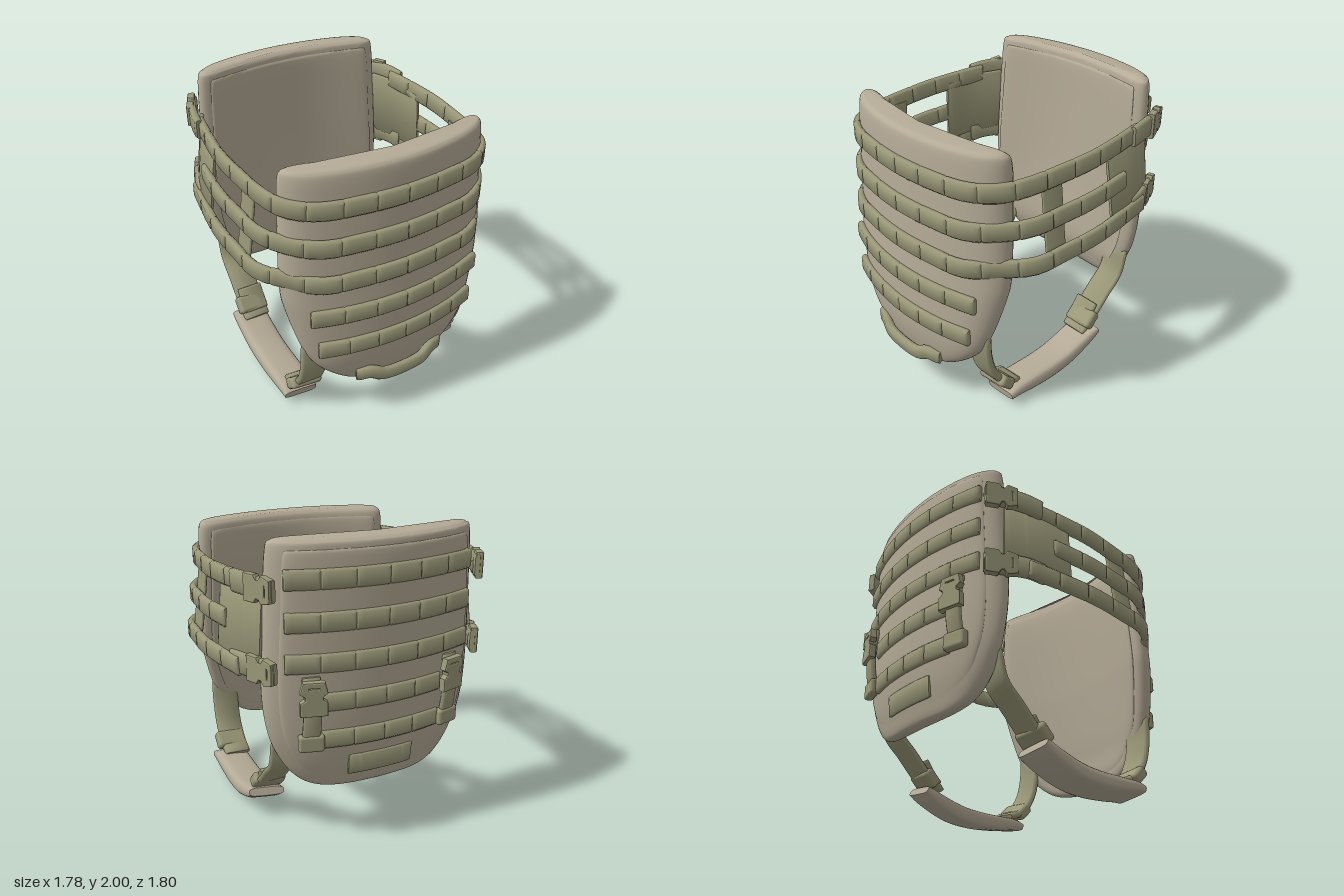
import * as THREE from 'three';
import { toCreasedNormals } from 'three/addons/utils/BufferGeometryUtils.js';
import { RoundedBoxGeometry } from 'three/addons/geometries/RoundedBoxGeometry.js';

const V = (x, y, z) => new THREE.Vector3(x, y, z);
const cloth = new THREE.MeshStandardMaterial({ color: 0xb5ab97 });
const webbing = new THREE.MeshStandardMaterial({ color: 0x9a9878 });

function add(parent, name, geometry, material) {
  const mesh = new THREE.Mesh(geometry, material);
  mesh.name = name;
  parent.add(mesh);
  return mesh;
}

// Skin a list of closed rings and cap both ends
function loft(rings) {
  const pos = [], idx = [], n = rings[0].length, last = rings.length - 1;
  rings.forEach(r => r.forEach(p => pos.push(p.x, p.y, p.z)));
  for (let i = 0; i < last; i++) for (let j = 0; j < n; j++) {
    const a = i * n + j, b = i * n + (j + 1) % n;
    idx.push(a, b, b + n, a, b + n, a + n);
  }
  for (const i of [0, last]) {
    const c = rings[i].reduce((s, p) => s.add(p), V(0, 0, 0)).divideScalar(n);
    const k = pos.length / 3;
    pos.push(c.x, c.y, c.z);
    for (let j = 0; j < n; j++) {
      const a = i * n + j, b = i * n + (j + 1) % n;
      i ? idx.push(k, a, b) : idx.push(k, b, a);
    }
  }
  const g = new THREE.BufferGeometry();
  g.setAttribute('position', new THREE.Float32BufferAttribute(pos, 3));
  g.setIndex(idx);
  return toCreasedNormals(g, 0.9);
}

// Padded strip along a path; `across` is its width direction; segments pinch it at stitches
function ribbon(points, across, width, thick, segments = 0) {
  const curve = new THREE.CatmullRomCurve3(points, false, 'centripetal');
  const stops = [];
  const steps = segments ? [0, 0.05, 0.2, 0.5, 0.8, 0.95] : [0, 0.5];
  const count = segments || 12;
  for (let i = 0; i < count; i++) for (const s of steps) stops.push([(i + s) / count, s === 0]);
  stops.push([1, true]);
  const rings = stops.map(([t, stitch]) => {
    const pinch = segments ? stitch : t === 0 || t === 1;
    const T = curve.getTangentAt(t);
    const W = across.clone().addScaledVector(T, -across.dot(T)).normalize();
    const N = T.clone().cross(W);
    const w = width / 2 * (pinch ? 0.96 : 1), h = thick / 2 * (pinch ? 0.6 : 1), c = Math.min(w, h) * 0.6;
    const p = curve.getPointAt(t);
    return [[w, -h + c], [w, h - c], [w - c, h], [-w + c, h], [-w, h - c], [-w, -h + c], [-w + c, -h], [w - c, -h]]
      .map(([a, b]) => p.clone().addScaledVector(W, a).addScaledVector(N, b));
  });
  return loft(rings);
}

// Curved plate; rows of [y, half width, outer z, inner z, inner bend] from top to bottom
const BEND = 0.29;
function plate(rows) {
  const A = new THREE.SplineCurve(rows.map(r => new THREE.Vector2(r[0], r[1])));
  const B = new THREE.SplineCurve(rows.map(r => new THREE.Vector2(r[2], r[3])));
  const C = new THREE.SplineCurve(rows.map(r => new THREE.Vector2(r[4], 0)));
  const rings = [], steps = (rows.length - 1) * 5, n = 28;
  for (let i = 0; i <= steps; i++) {
    const a = A.getPoint(i / steps), b = B.getPoint(i / steps), k = C.getPoint(i / steps).x, ring = [];
    for (let j = 0; j < 2 * n; j++) {
      const s = Math.cos(j * Math.PI / n), x = s * a.y;
      const outer = b.x - BEND * x * x, inner = b.y - k * x * x;
      const fat = Math.sqrt(Math.max(0, 1 - Math.abs(s) ** 9)) * (j < n ? 1 : -1);
      ring.push(V(x, a.x, (outer + inner + fat * (outer - inner)) / 2));
    }
    rings.push(ring);
  }
  return loft(rings);
}

// Depth of a plate's outer surface
function surface(rows, x, y) {
  const i = Math.max(1, rows.findIndex(r => r[0] <= y)), a = rows[i - 1], b = rows[i];
  return THREE.MathUtils.lerp(a[2], b[2], (a[0] - y) / (a[0] - b[0])) - BEND * x * x;
}

// Row of stitched webbing loops lying on a plate
function loopRow(parent, rows, y, half, segments) {
  const pts = [];
  for (let i = 0; i <= 8; i++) {
    const x = half * (i / 4 - 1);
    pts.push(V(x, y, surface(rows, x, y) + 0.006));
  }
  add(parent, 'webbingRow', ribbon(pts, V(0, 1, 0), 0.12, 0.05, segments), webbing);
}

// Side-release buckle, length along x, facing +z
function buckle(parent, name, length, width) {
  const l = length / 2, w = width / 2;
  const outline = [[-l, -w], [-l * 0.25, -w], [-l * 0.05, -w * 0.62], [l * 0.2, -w * 0.62], [l * 0.4, -w], [l, -w * 0.8]];
  const s = new THREE.Shape([...outline, ...outline.slice().reverse().map(([x, y]) => [x, -y])].map(p => new THREE.Vector2(...p)));
  s.holes.push(new THREE.Path([[0.6, -0.5], [0.6, 0.5], [0.78, 0.5], [0.78, -0.5]].map(([x, y]) => new THREE.Vector2(x * l, y * w))));
  const g = new THREE.ExtrudeGeometry(s, { depth: 0.025, bevelSize: 0.008, bevelThickness: 0.012, bevelSegments: 2 });
  g.translate(0, 0, -0.0125);
  return add(parent, name, g, webbing);
}

const FRONT = [[1.87, 0.64, 0.755, 0.675, 0.3], [1.86, 0.68, 0.785, 0.65, 0.31], [1.81, 0.705, 0.805, 0.625, 0.32],
  [1.6, 0.715, 0.82, 0.62, 0.32], [1.1, 0.735, 0.848, 0.645, 0.31], [0.9, 0.715, 0.862, 0.66, 0.3], [0.6, 0.635, 0.87, 0.69, 0.29],
  [0.45, 0.55, 0.86, 0.71, 0.29], [0.33, 0.41, 0.835, 0.72, 0.29], [0.28, 0.3, 0.81, 0.735, 0.29], [0.262, 0.18, 0.79, 0.755, 0.29]];
const BACK = [[2, 0.58, 0.8, 0.73, 0.29], [1.985, 0.64, 0.84, 0.7, 0.29], [1.93, 0.67, 0.858, 0.685, 0.28],
  [1.6, 0.69, 0.863, 0.673, 0.27], [1.1, 0.71, 0.858, 0.65, 0.22], [0.8, 0.68, 0.845, 0.62, 0.13], [0.6, 0.6, 0.82, 0.61, 0.1],
  [0.47, 0.5, 0.79, 0.64, 0.12], [0.41, 0.38, 0.77, 0.68, 0.15], [0.39, 0.22, 0.75, 0.7, 0.15]];
// Smaller copy of a plate sunk into one of its faces
const inset = (rows, f) => rows.map(r => [1.18 + (r[0] - 1.18) * 0.95, r[1] * 0.9, ...f(r)]);
const liner = r => [r[3] + 0.04, r[3] - 0.008, r[4]];

function frontPanel() {
  const g = new THREE.Group();
  g.name = 'frontPanel';
  add(g, 'frontPlate', plate(FRONT), cloth);
  add(g, 'frontLiner', plate(inset(FRONT, liner)), cloth);
  loopRow(g, FRONT, 0.895, 0.62, 6);
  loopRow(g, FRONT, 0.645, 0.58, 6);
  // Drag handle
  const pts = [[-0.33, 0.355, 0.01], [-0.23, 0.36, 0.025], [-0.15, 0.325, 0.045], [0.15, 0.325, 0.045], [0.23, 0.36, 0.025], [0.33, 0.355, 0.01]]
    .map(([x, y, lift]) => V(x, y, surface(FRONT, x, y) + lift));
  add(g, 'handle', ribbon(pts, V(0, 1, 0), 0.095, 0.055), webbing);
  return g;
}

// Built facing +z, then turned round
function backPanel() {
  const g = new THREE.Group();
  g.name = 'backPanel';
  g.rotation.y = Math.PI;
  add(g, 'backPlate', plate(BACK), cloth);
  add(g, 'backLiner', plate(inset(BACK, liner)), cloth);
  add(g, 'backCover', plate(inset(BACK, r => [r[2] + 0.01, r[2] - 0.04, BEND])), cloth);
  for (const y of [1.78, 1.53, 1.28]) loopRow(g, BACK, y, 0.61, 6);
  for (const y of [1.03, 0.78]) loopRow(g, BACK, y, 0.4, 4);
  // Flat patch
  const patch = [-0.22, -0.1, 0.1, 0.22].map(x => V(x, 0.57, surface(BACK, x, 0.57) + 0.012));
  add(g, 'patch', ribbon(patch, V(0, 1, 0.1), 0.14, 0.025), webbing);
  // Hanging buckles
  for (const s of [-1, 1]) {
    const at = (y, lift) => V(s * 0.47, y, surface(BACK, 0.47, y) + lift);
    add(g, 'buckleTape', ribbon([at(1.2, 0.02), at(1.08, 0.04), at(0.92, 0.045), at(0.73, 0.02)], V(1, 0, s * -0.25), 0.11, 0.04), webbing);
    const b = buckle(g, 'hangingBuckle', 0.2, 0.15);
    b.position.copy(at(1.08, 0.06));
    b.rotation.set(0, s * 0.25, Math.PI / 2);
    const keeper = add(g, 'tapeKeeper', new RoundedBoxGeometry(0.16, 0.11, 0.06, 2, 0.02), webbing);
    keeper.position.copy(at(0.775, 0.035));
    keeper.rotation.y = s * 0.25;
  }
  return g;
}

// Three webbing bands round the front and both flanks
const BANDS = [{ y: 1.64, X: 0.8, z: 0.825, end: -0.48 }, { y: 1.39, X: 0.835, z: 0.838, end: -0.32 }, { y: 1.14, X: 0.865, z: 0.852, end: -0.53 }];
function waistBands() {
  const g = new THREE.Group();
  g.name = 'waistBands';
  for (const b of BANDS) {
    const rise = z => b.y + Math.max(0, 0.8 - z) * 0.06;
    const half = [[0.3, b.z - 0.025], [0.55, b.z - 0.08], [0.7, 0.625], [b.X - 0.04, 0.46], [b.X - 0.012, 0.22], [b.X, 0],
      [b.X - 0.015, -0.2], [b.X - 0.03 + (b.end + 0.32) * 0.15, b.end]].map(([x, z]) => V(x, rise(z), z));
    const pts = [...half.slice().reverse().map(p => V(-p.x, p.y, p.z)), V(0, b.y, b.z), ...half];
    add(g, 'waistBand', ribbon(pts, V(0, 1, 0), 0.12, 0.05, b.end < -0.4 ? 18 : 16), webbing);
  }
  for (const s of [-1, 1]) {
    // Upright tape, rear cloth and closure buckles
    add(g, 'uprightTape', ribbon([V(s * 0.82, 1.2, 0.29), V(s * 0.79, 1.42, 0.29), V(s * 0.76, 1.66, 0.29)], V(0, 0, 1), 0.16, 0.02), webbing);
    add(g, 'flankCloth', ribbon([V(s * 0.8, 1.46, -0.18), V(s * 0.78, 1.475, -0.4), V(s * 0.7, 1.485, -0.64)], V(s * -0.12, 1, 0), 0.48, 0.03), webbing);
    for (const [y, x] of [[1.725, 0], [1.235, 0.02]]) {
      add(g, 'closureTape', ribbon([V(s * (0.785 + x), y - 0.01, -0.4), V(s * (0.765 + x), y, -0.52), V(s * 0.725, y, -0.66), V(s * 0.67, y, -0.77)], V(0, 1, 0), 0.14, 0.05), webbing);
      const b = buckle(g, 'closureBuckle', 0.19, 0.15);
      b.position.set(s * 0.725, y, -0.68);
      b.rotation.y = s * (Math.PI / 2 + 0.43);
    }
  }
  return g;
}

// Padded strap joining the panels underneath
function underStrap(s) {
  const g = new THREE.Group();
  g.name = s > 0 ? 'leftStrap' : 'rightStrap';
  const path = (x, list) => list.map(([z, y]) => V(s * x, y, z));
  // Pad narrows in thickness towards both ends
  const pad = path(0.585, [[0.52, 0.07], [0.47, 0.078], [0.34, 0.072], [0.15, 0.068], [-0.02, 0.085], [-0.2, 0.142], [-0.32, 0.195]]);
  const padCurve = new THREE.CatmullRomCurve3(pad);
  const rings = [];
  for (let i = 0; i <= 20; i++) {
    const t = i / 20, p = padCurve.getPointAt(t), T = padCurve.getTangentAt(t);
    const W = V(1, s * 0.14, 0).addScaledVector(T, -T.y * s * 0.14).normalize(), N = T.clone().cross(W);
    const h = 0.028 + 0.028 * Math.sin(Math.PI * t) ** 0.5, ring = [];
    for (let j = 0; j < 20; j++) {
      const c = Math.cos(j * Math.PI / 10), d = Math.sin(j * Math.PI / 10);
      ring.push(p.clone().addScaledVector(W, 0.122 * Math.sign(c) * Math.abs(c) ** 0.5).addScaledVector(N, h * Math.sign(d) * Math.abs(d) ** 0.5));
    }
    rings.push(ring);
  }
  add(g, 'strapPad', loft(rings), cloth);
  add(g, 'frontTape', ribbon(path(0.55, [[0.665, 0.62], [0.655, 0.45], [0.61, 0.295], [0.52, 0.175], [0.4, 0.12]]), V(1, s * 0.08, 0), 0.19, 0.05), webbing);
  add(g, 'rearTape', ribbon(path(0.56, [[-0.2, 0.2], [-0.3, 0.27], [-0.45, 0.42], [-0.57, 0.54], [-0.62, 0.72]]), V(1, 0, 0), 0.19, 0.04), webbing);
  add(g, 'tapeTail', ribbon(path(0.55, [[-0.23, 0.24], [-0.29, 0.3], [-0.35, 0.38]]), V(1, 0, 0), 0.18, 0.035), webbing);
  for (const [z, y, turn] of [[0.53, 0.18, 0.75], [-0.29, 0.275, -0.8]]) {
    const b = add(g, 'strapKeeper', new RoundedBoxGeometry(0.22, 0.08, 0.13, 2, 0.025), webbing);
    b.position.set(s * 0.565, y, z);
    b.rotation.set(-turn, 0, s * 0.1);
  }
  return g;
}

export function createModel() {
  const model = new THREE.Group();
  model.name = 'plateCarrier';
  model.add(frontPanel(), backPanel(), waistBands(), underStrap(1), underStrap(-1));
  return model;
}
